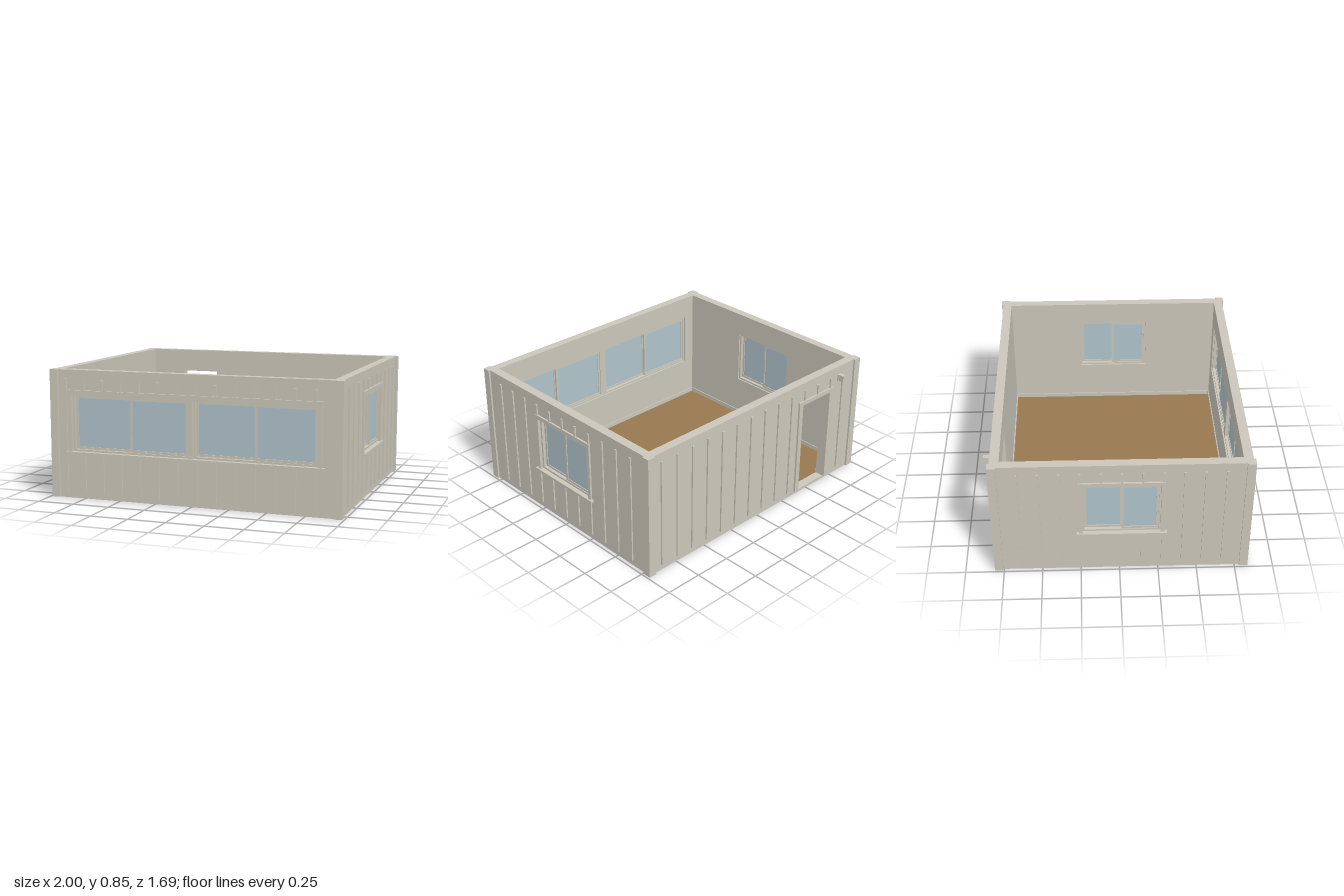
import * as THREE from 'three';

const siding = new THREE.MeshStandardMaterial({ color: 0xcac6ba });
siding.name = 'siding';
const glass = new THREE.MeshStandardMaterial({ color: 0xb0c3cb });
glass.name = 'windowGlass';
const flooring = new THREE.MeshStandardMaterial({ color: 0x977850 });
flooring.name = 'woodFloor';

const HEIGHT = 0.85, THICK = 0.06;
const CENTRE_Z = 0.0125, HALF_X = 0.975, HALF_Z = 0.811;

// Box given by its lower and upper corners
function box(parent, name, mat, [x0, y0, z0], [x1, y1, z1]) {
  const mesh = new THREE.Mesh(new THREE.BoxGeometry(x1 - x0, y1 - y0, z1 - z0), mat);
  mesh.position.set((x0 + x1) / 2, (y0 + y1) / 2, (z0 + z1) / 2);
  mesh.name = name;
  parent.add(mesh);
  return mesh;
}

// Rectangular ring of four bars, w wide
function ring(parent, name, x0, x1, y0, y1, w, z0, z1) {
  const g = new THREE.Group();
  g.name = name;
  box(g, 'stile', siding, [x0, y0, z0], [x0 + w, y1, z1]);
  box(g, 'stile', siding, [x1 - w, y0, z0], [x1, y1, z1]);
  box(g, 'rail', siding, [x0 + w, y0, z0], [x1 - w, y0 + w, z1]);
  box(g, 'rail', siding, [x0 + w, y1 - w, z0], [x1 - w, y1, z1]);
  parent.add(g);
}

// Sliding window: frame, fixed pane on the left, sliding pane in front on the right
function slidingWindow(parent, x0, x1, y0, y1) {
  const g = new THREE.Group();
  g.name = 'slidingWindow';
  const f = 0.013, mid = (x0 + x1) / 2;
  ring(g, 'windowFrame', x0, x1, y0, y1, f, -0.05, -0.008);
  const panes = [
    ['fixedPane', x0 + f, mid + 0.006, -0.044],
    ['slidingPane', mid - 0.003, x1 - f, -0.028],
  ];
  for (const [name, a, b, z] of panes) {
    ring(g, name + 'Frame', a, b, y0 + f, y1 - f, 0.015, z, z + 0.015);
    box(g, name + 'Glass', glass, [a + 0.01, y0 + f + 0.01, z + 0.005], [b - 0.01, y1 - f - 0.01, z + 0.01]);
  }
  parent.add(g);
}

// Wall in local axes: x to the right seen from outside, z = 0 on the outer face
function buildWall(name, half, opening, battenStart, battenCount) {
  const g = new THREE.Group();
  g.name = name;
  const shape = new THREE.Shape([[-half, 0], [half, 0], [half, HEIGHT], [-half, HEIGHT]]
    .map(([x, y]) => new THREE.Vector2(x, y)));
  const { x0, x1, y0, y1, trim, sill } = opening;
  shape.holes.push(new THREE.Path([[x0, y0], [x0, y1], [x1, y1], [x1, y0]]
    .map(([x, y]) => new THREE.Vector2(x, y))));
  const geo = new THREE.ExtrudeGeometry(shape, { depth: THICK, bevelEnabled: false });
  geo.translate(0, 0, -THICK);
  const panel = new THREE.Mesh(geo, siding);
  panel.name = 'wallPanel';
  g.add(panel);

  // Trim boards around the opening
  const top = y1 + 0.028;
  box(g, 'sideTrim', siding, [x0 - trim, y0, 0], [x0, top, 0.013]);
  box(g, 'sideTrim', siding, [x1, y0, 0], [x1 + trim, top, 0.013]);
  box(g, 'headTrim', siding, [x0, y1, 0], [x1, top, 0.013]);
  if (sill) box(g, 'windowSill', siding, [x0 - trim - 0.016, y0 - 0.015, -0.02], [x1 + trim + 0.016, y0, 0.025]);

  // Battens, interrupted by the opening
  const low = 0.04, high = 0.79, w = 0.0065;
  for (let i = 0; i < battenCount; i++) {
    const x = battenStart + i * 0.1302;
    const spans = x > x0 - trim - w && x < x1 + trim + w
      ? [[low, y0 - 0.015], [top, high]] : [[low, high]];
    for (const [a, b] of spans) {
      if (b > a) box(g, 'batten', siding, [x - w, a, 0], [x + w, b, 0.01]);
    }
  }
  return g;
}

export function createModel() {
  const model = new THREE.Group();
  model.name = 'cabin';

  // Front wall with a pair of windows
  const wide = { x0: -0.833, x1: 0.833, y0: 0.312, y1: 0.69, trim: 0.025, sill: true };
  const front = buildWall('frontWall', HALF_X, wide, -0.876, 14);
  slidingWindow(front, -0.833, -0.0135, wide.y0, wide.y1);
  slidingWindow(front, 0.0135, 0.833, wide.y0, wide.y1);
  box(front, 'mullion', siding, [-0.0135, wide.y0, -0.05], [0.0135, wide.y1, 0.013]);
  front.position.z = CENTRE_Z + HALF_Z;
  model.add(front);

  // Side walls, one window each
  for (const s of [1, -1]) {
    const small = { x0: -0.247, x1: 0.247, y0: 0.312, y1: 0.69, trim: 0.025, sill: true };
    const side = buildWall(s > 0 ? 'leftWall' : 'rightWall', HALF_Z - THICK, small, -0.65, 11);
    slidingWindow(side, small.x0, small.x1, small.y0, small.y1);
    side.rotation.y = s * Math.PI / 2;
    side.position.set(s * HALF_X, 0, CENTRE_Z);
    model.add(side);
  }

  // Back wall with an open doorway and a lamp
  const door = { x0: 0.405, x1: 0.68, y0: 0.02, y1: 0.69, trim: 0.035, sill: false };
  const back = buildWall('backWall', HALF_X, door, -0.872, 14);
  box(back, 'lampPlate', siding, [0.765, 0.745, 0], [0.807, 0.79, 0.012]);
  box(back, 'lampHousing', siding, [0.77, 0.745, 0.012], [0.802, 0.79, 0.0475]);
  back.rotation.y = Math.PI;
  back.position.z = CENTRE_Z - HALF_Z;
  model.add(back);

  // Corner boards
  for (const sx of [-1, 1]) for (const sz of [-1, 1]) {
    const post = box(model, 'cornerBoard', siding, [-0.0275, 0, -0.0275], [0.0275, HEIGHT, 0.0275]);
    post.position.x = sx * (HALF_X + 0.0125 - 0.0275);
    post.position.z = CENTRE_Z + sz * (HALF_Z + 0.0125 - 0.0275);
  }

  // Floor
  const ix = HALF_X - THICK, zf = CENTRE_Z + HALF_Z - THICK, zb = CENTRE_Z - HALF_Z + THICK;
  box(model, 'floor', flooring, [-ix, 0, zb], [ix, 0.02, zf]);

  // Skirting, left open at the doorway
  const t = 0.006, h = 0.05;
  box(model, 'skirting', siding, [-ix, 0.02, zf - t], [ix, h, zf]);
  box(model, 'skirting', siding, [-ix, 0.02, zb], [-door.x1, h, zb + t]);
  box(model, 'skirting', siding, [-door.x0, 0.02, zb], [ix, h, zb + t]);
  box(model, 'skirting', siding, [-ix, 0.02, zb], [-ix + t, h, zf]);
  box(model, 'skirting', siding, [ix - t, 0.02, zb], [ix, h, zf]);
  return model;
}
